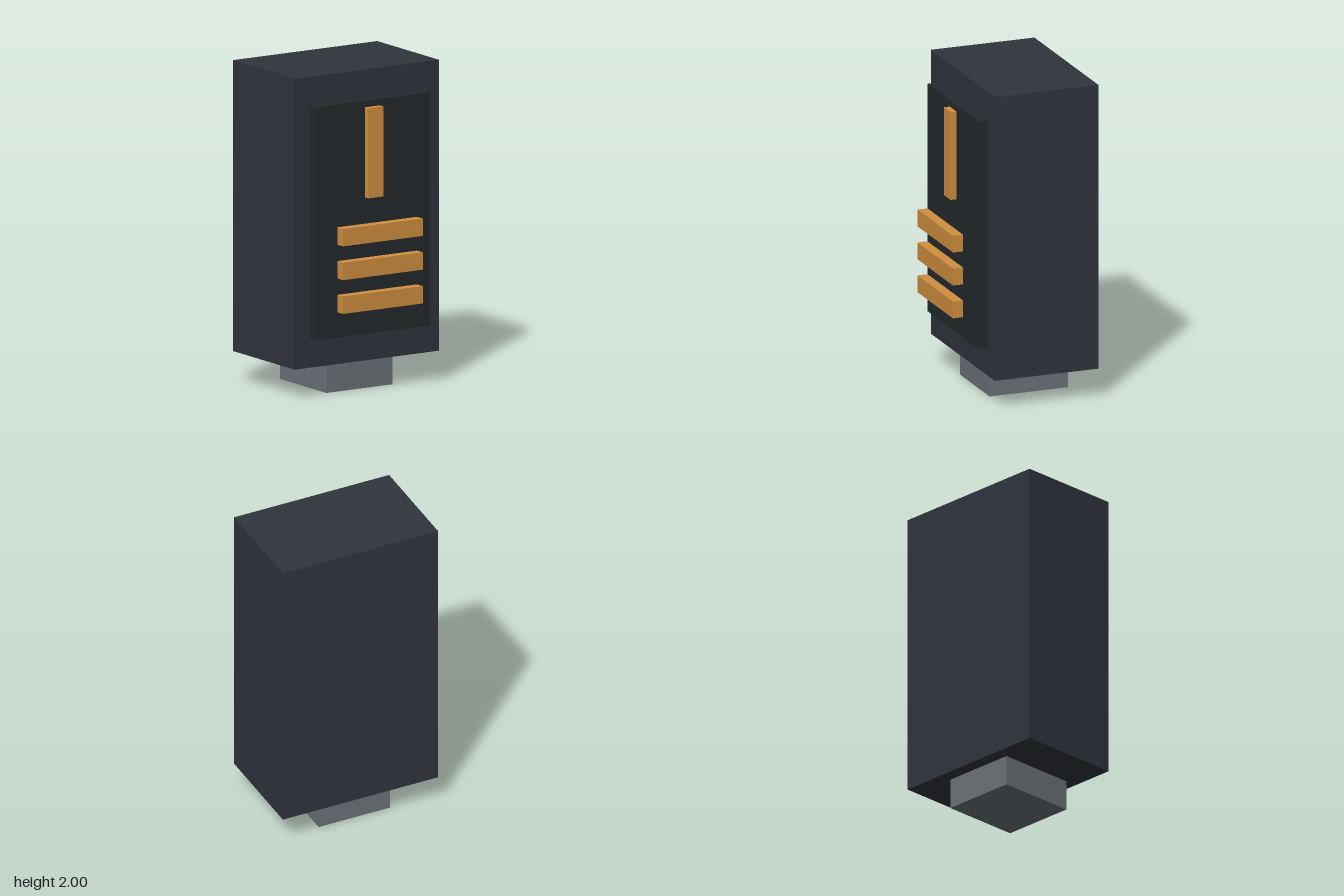
import * as THREE from 'three';

const material = (color) => new THREE.MeshStandardMaterial({ color });

export function createModel() {
  const model = new THREE.Group();
  model.name = 'indicatorUnit';

  const housingMat = material(0x30353d);
  const panelMat = material(0x23292c);
  const amberMat = material(0xd18f40);
  const plugMat = material(0x6b7278);

  // Box from its width (centred on x) and its y and z extents
  const box = (name, mat, width, [y0, y1], [z0, z1]) => {
    const mesh = new THREE.Mesh(new THREE.BoxGeometry(width, y1 - y0, z1 - z0), mat);
    mesh.name = name;
    mesh.position.set(0, (y0 + y1) / 2, (z0 + z1) / 2);
    model.add(mesh);
  };

  // Main housing with the plug underneath
  box('housing', housingMat, 1.052, [0.19, 2], [-0.43, 0.25]);
  box('basePlug', plugMat, 0.484, [0, 0.19], [-0.345, 0.17]);

  // Raised front panel and its upright strip
  box('frontPanel', panelMat, 0.842, [0.37, 1.82], [0.25, 0.313]);
  box('uprightStrip', amberMat, 0.11, [1.22, 1.78], [0.313, 0.352]);

  // Three crossbars standing clear of the panel
  for (let i = 0; i < 3; i++) {
    const y = 1.015 - i * 0.21;
    box(`crossbar${i + 1}`, amberMat, 0.582, [y - 0.054, y + 0.054], [0.365, 0.43]);
  }

  return model;
}
